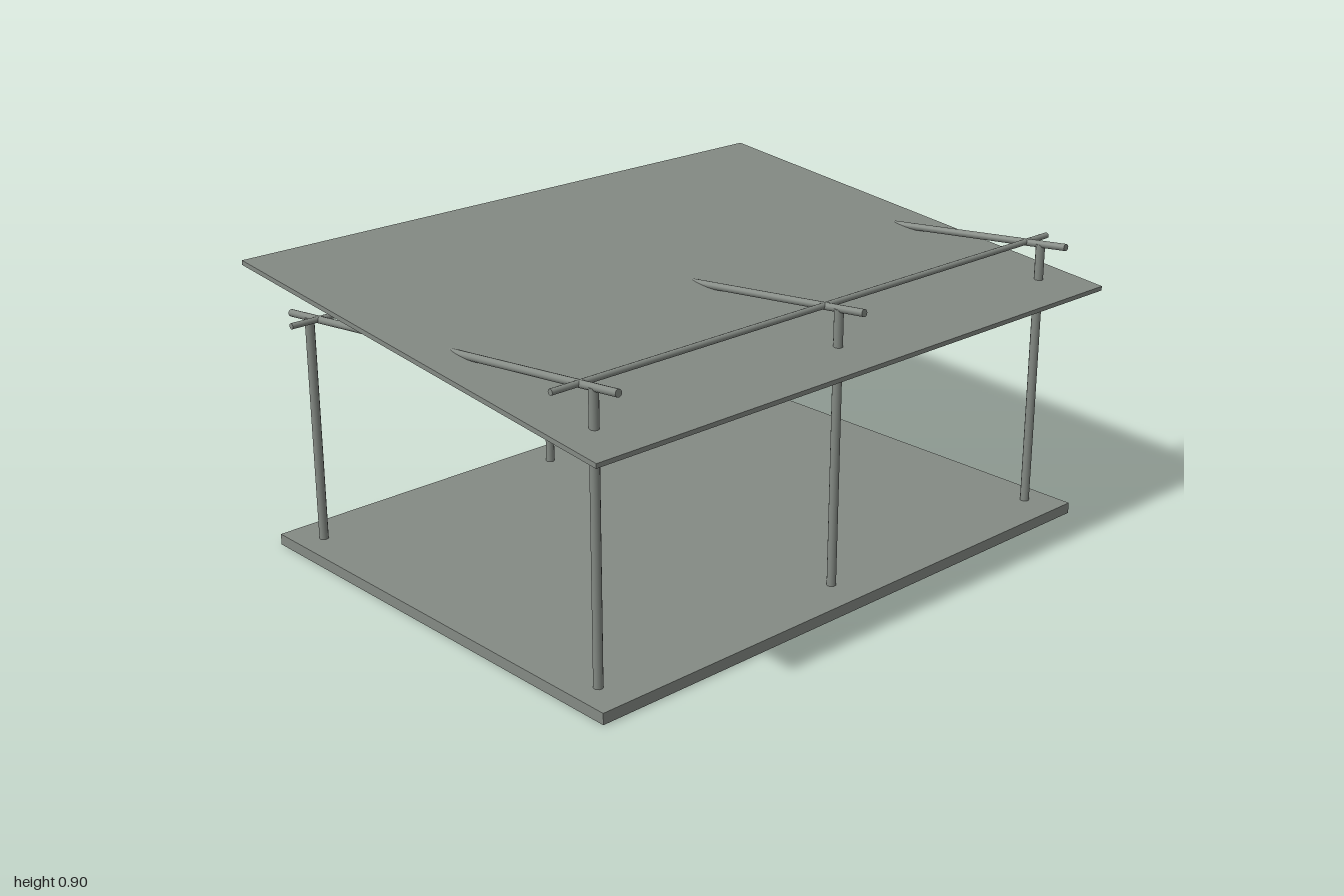
import * as THREE from 'three';

export function createModel() {
  const model = new THREE.Group();
  const grey = new THREE.MeshStandardMaterial({ color: 0x848a84 });
  grey.name = 'greyGreen';

  const add = (name, geometry) => {
    const mesh = new THREE.Mesh(geometry, grey);
    mesh.name = name;
    model.add(mesh);
    return mesh;
  };

  // Round pole between two points
  const pole = (name, from, to, radius) => {
    const a = new THREE.Vector3(...from);
    const b = new THREE.Vector3(...to);
    const dir = b.clone().sub(a);
    const mesh = add(name, new THREE.CylinderGeometry(radius, radius, dir.length(), 12));
    mesh.position.copy(a).add(b).multiplyScalar(0.5);
    mesh.quaternion.setFromUnitVectors(new THREE.Vector3(0, 1, 0), dir.normalize());
  };

  // Floor slab
  const floorHeight = 0.034;
  add('floor', new THREE.BoxGeometry(1.92, floorHeight, 1.476)).position.y = floorHeight / 2;

  // Roof panel, rising towards the back
  const roof = add('roofPanel', new THREE.BoxGeometry(2, 0.014, 1.553));
  roof.position.y = 0.812;
  roof.rotation.x = Math.atan(0.1);

  // Height of the rafter line, falling towards the back
  const rafterY = (z) => 0.799 + 0.106 * z;

  // Posts and rafters in three rows
  for (const x of [-0.88, 0, 0.88]) {
    for (const z of [0.627, -0.627]) {
      pole(z > 0 ? 'frontPost' : 'backPost', [x, floorHeight, z], [x, rafterY(z), z], 0.0138);
    }
    pole('rafter', [x, rafterY(0.72), 0.72], [x, rafterY(-0.72), -0.72], 0.011);
  }

  // Cross bars running the full width
  for (const z of [0.575, -0.575]) {
    const y = rafterY(z) + 0.002;
    pole(z > 0 ? 'frontCrossBar' : 'backCrossBar', [-0.975, y, z], [0.975, y, z], 0.009);
  }

  return model;
}
